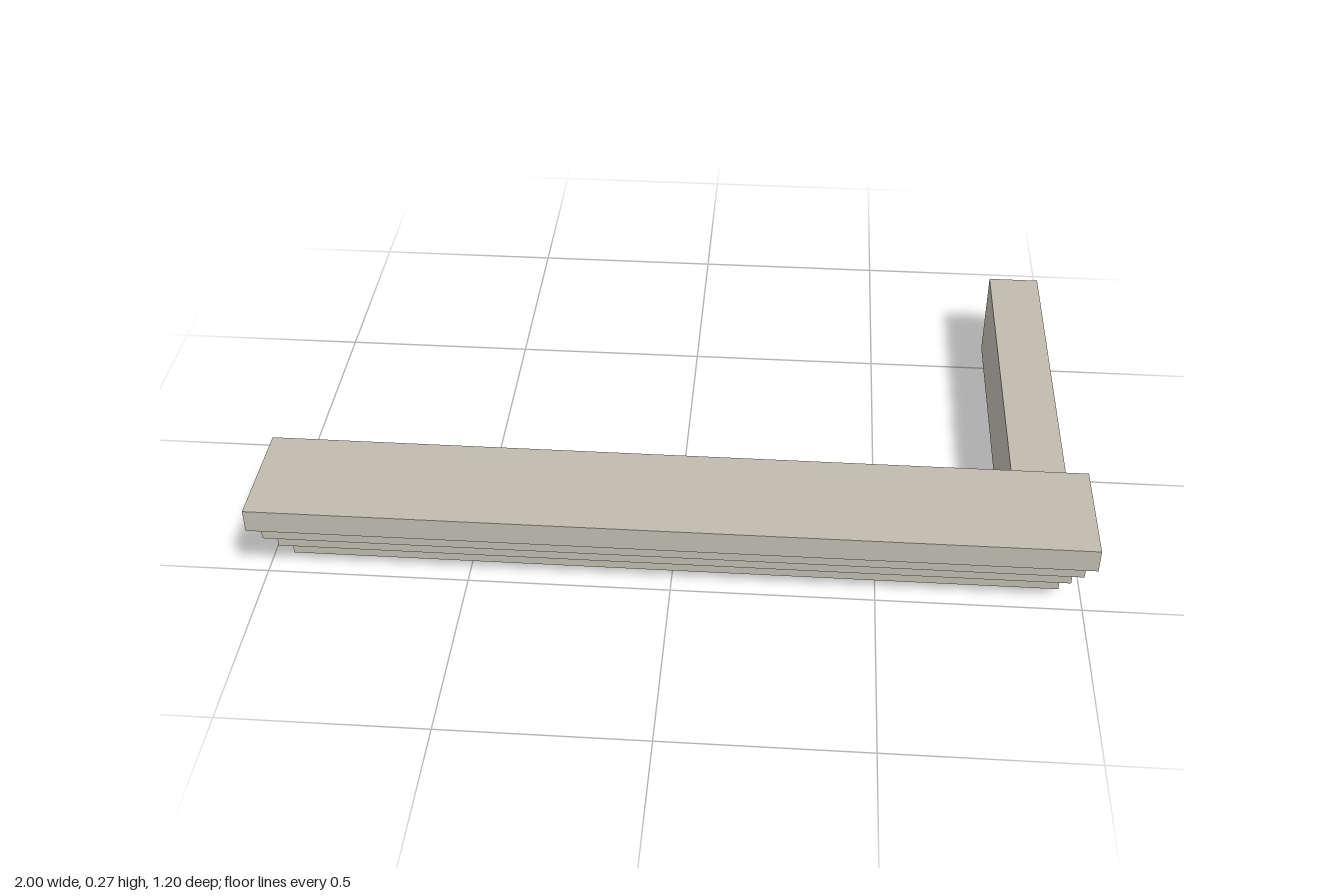
import * as THREE from 'three';

const stone = new THREE.MeshStandardMaterial({ color: 0xbfbbae });
stone.name = 'stone';

// Box given by its lower and upper limits on each axis
function block(name, [x0, x1], [y0, y1], [z0, z1]) {
  const mesh = new THREE.Mesh(new THREE.BoxGeometry(x1 - x0, y1 - y0, z1 - z0), stone);
  mesh.position.set((x0 + x1) / 2, (y0 + y1) / 2, (z0 + z1) / 2);
  mesh.name = name;
  return mesh;
}

export function createModel() {
  const model = new THREE.Group();
  model.name = 'steppedCornice';

  // Four slabs, each wider and further forward than the one below, with thin gaps
  const courses = new THREE.Group();
  courses.name = 'courses';
  for (let i = 0; i < 4; i++) {
    const half = 0.945 + i * 0.0183;
    const bottom = 0.02 + i * 0.065;
    courses.add(block(`course${i + 1}`, [-half, half], [bottom, bottom + 0.059],
      [0.304 + i * 0.003, 0.45 + i * 0.05]));
  }
  model.add(courses);

  // Side beam running back from the left end
  model.add(block('sideBeam', [0.82, 0.953], [0, 0.239], [-0.6, 0.402]));
  return model;
}
